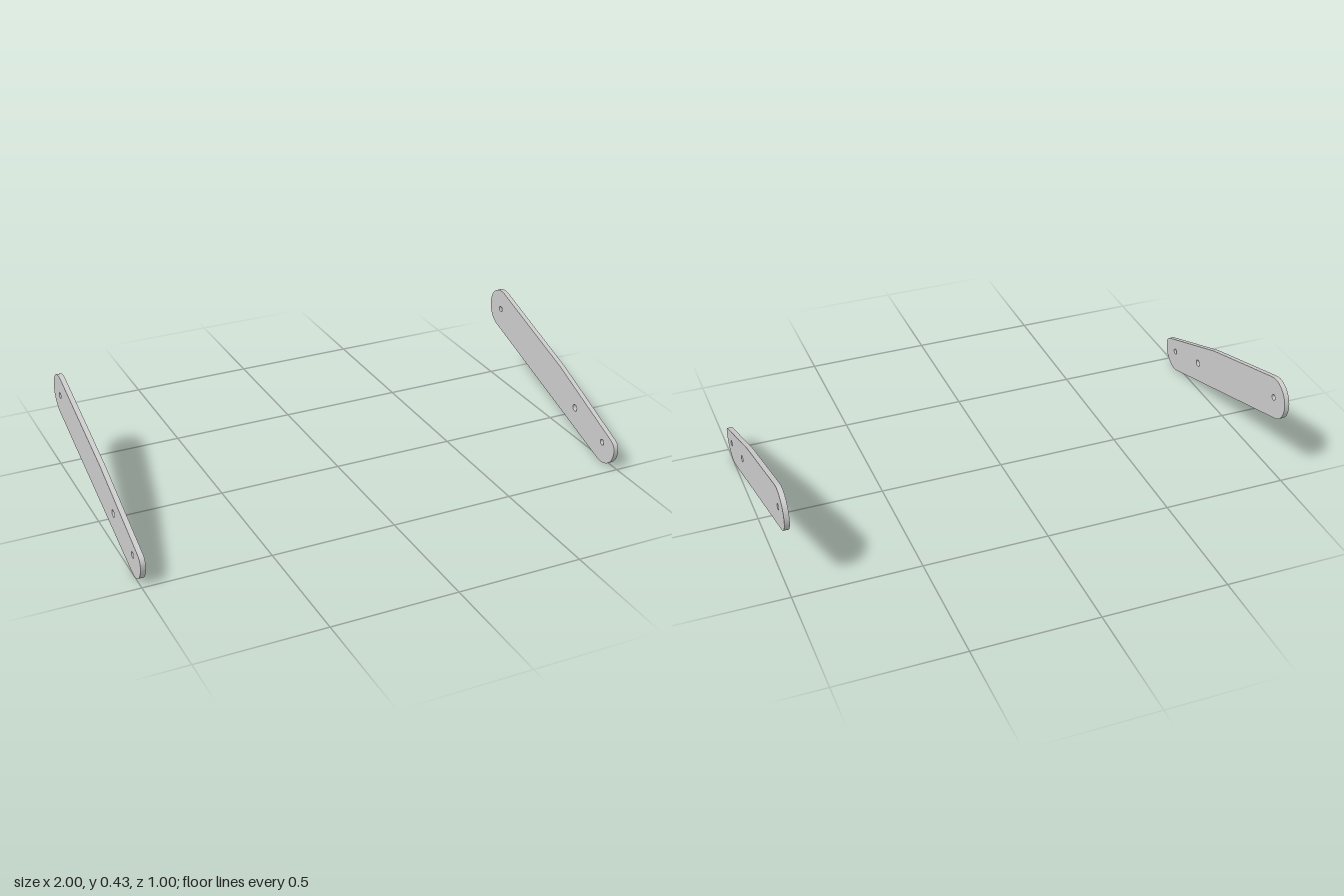
import * as THREE from 'three';

const THICKNESS = 0.02;
const SLOPE = Math.atan(0.313); // tilt of the bar
const TAPER = Math.atan(0.4); // steeper tilt of the tapered front half

// Bar outline, drawn with x running to the rear and y up
function barShape() {
  const s = new THREE.Shape();
  s.absarc(-0.413, 0.085, 0.085, Math.PI, SLOPE + Math.PI * 1.5, false);
  s.absarc(0.413, 0.344, 0.085, SLOPE - Math.PI / 2, SLOPE + Math.PI / 2, false);
  s.lineTo(-0.077, 0.279);
  s.absarc(-0.458, 0.085, 0.04, TAPER + Math.PI / 2, Math.PI, false);
  s.closePath();
  // Bolt holes
  for (const [x, y, r] of [[-0.413, 0.087, 0.012], [-0.205, 0.146, 0.0145], [0.412, 0.345, 0.012]]) {
    const hole = new THREE.Path();
    hole.absarc(x, y, r, 0, Math.PI * 2, true);
    s.holes.push(hole);
  }
  return s;
}

export function createModel() {
  const group = new THREE.Group();
  group.name = 'sideBars';
  const material = new THREE.MeshStandardMaterial({ color: 0xcccccc });
  const geometry = new THREE.ExtrudeGeometry(barShape(), {
    depth: THICKNESS, bevelEnabled: false, curveSegments: 32,
  });
  geometry.translate(0, 0, -THICKNESS / 2);
  geometry.rotateY(Math.PI / 2);

  // A matching bar on each side
  for (const [name, side] of [['leftBar', 1], ['rightBar', -1]]) {
    const bar = new THREE.Mesh(geometry, material);
    bar.name = name;
    bar.position.x = side * (1 - THICKNESS / 2);
    group.add(bar);
  }
  return group;
}
